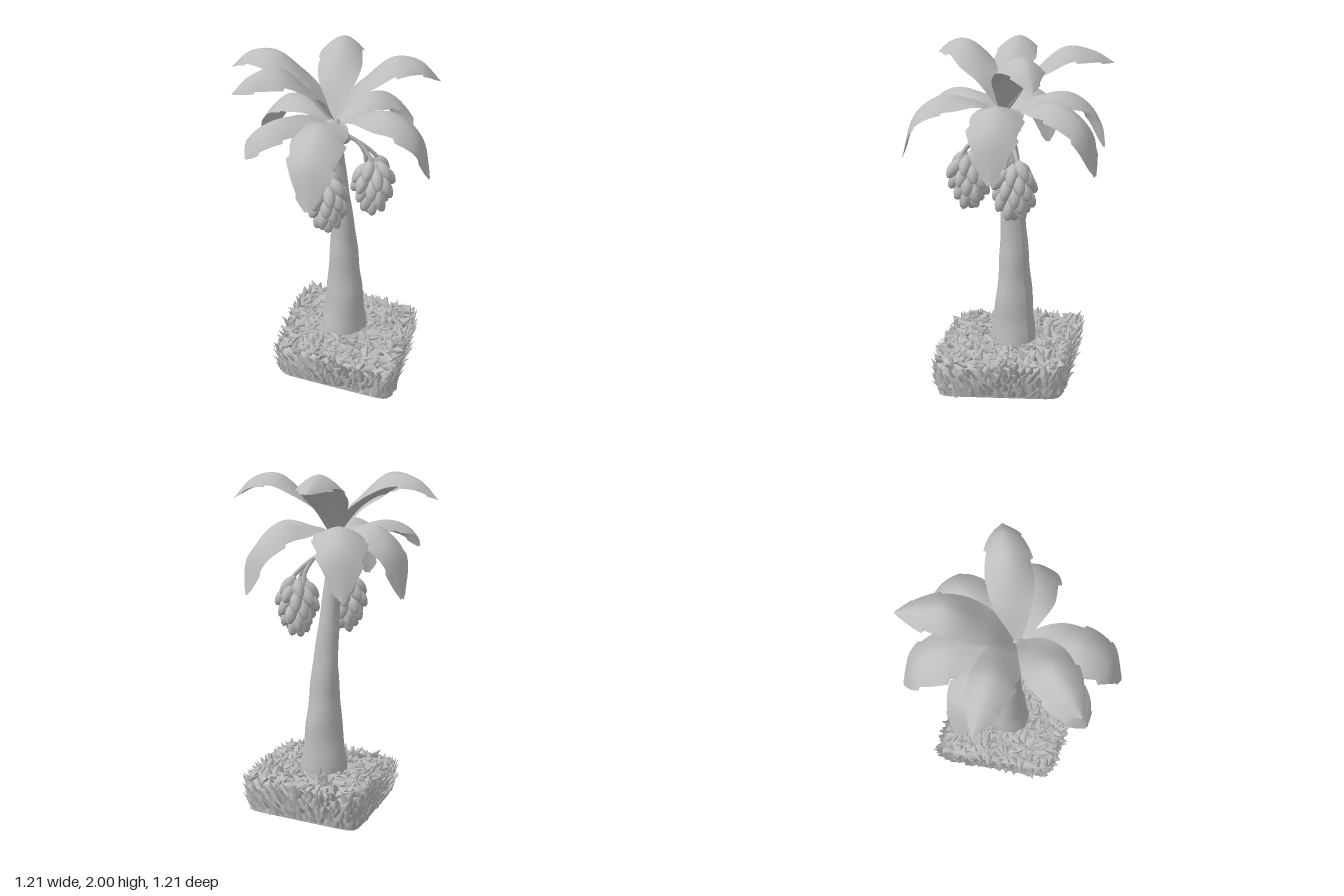
import * as THREE from 'three';
import { mergeGeometries } from 'three/addons/utils/BufferGeometryUtils.js';
import { ParametricGeometry } from 'three/addons/geometries/ParametricGeometry.js';

const V = (x, y, z) => new THREE.Vector3(x, y, z);
const grey = new THREE.MeshStandardMaterial({ color: 0xbdbdbd, side: THREE.DoubleSide });
grey.name = 'stone grey';

let seed = 7;
const rnd = () => ((seed = (seed * 16807) % 2147483647) / 2147483647);
const jitter = (a) => (rnd() - 0.5) * 2 * a;

function add(parent, name, geometry) {
  const mesh = new THREE.Mesh(geometry, grey);
  mesh.name = name;
  parent.add(mesh);
  return mesh;
}

function surface(rule, slices, stacks) {
  const geometry = new ParametricGeometry(rule, slices, stacks);
  geometry.computeVertexNormals();
  return geometry;
}

// Places a copy of a y-pointing geometry at a point, aimed along a direction
function aim(geo, pos, dir, scale, spin = 0) {
  const q = new THREE.Quaternion().setFromUnitVectors(V(0, 1, 0), dir.clone().normalize());
  q.multiply(new THREE.Quaternion().setFromAxisAngle(V(0, 1, 0), spin));
  return geo.clone().applyMatrix4(new THREE.Matrix4().compose(pos, q, scale));
}

// Linear lookup through rows of evenly spaced values
function sample(rows, t) {
  const f = t * (rows.length - 1), i = Math.min(Math.floor(f), rows.length - 2);
  return rows[i].map((a, k) => a + (rows[i + 1][k] - a) * (f - i));
}

// Slightly rounded square footprint of the ground block, turned 45 degrees
function footprint(angle, scale, y) {
  const a = angle - Math.PI / 4, n = 12;
  const r = 0.387 / Math.pow(Math.abs(Math.cos(a)) ** n + Math.abs(Math.sin(a)) ** n, 1 / n);
  return V(0.088 + Math.cos(angle) * r * scale * 0.92, y, 0.022 + Math.sin(angle) * r * scale * 1.06);
}

function ground(parent) {
  const group = new THREE.Group();
  group.name = 'grassyGround';
  parent.add(group);

  // Soil body and flat underside
  const wall = [[0.96, 0], [0.98, 0.05], [1, 0.1], [1, 0.15], [0.96, 0.19], [0.7, 0.2], [0.35, 0.2], [0, 0.2]];
  add(group, 'soil', surface((u, v, p) => {
    const [s, y] = sample(wall, v), a = -u * Math.PI * 2;
    const bump = v > 0.05 ? 0.012 * Math.sin(a * 17 + v * 31) * Math.sin(v * 47 + a * 9) : 0;
    p.copy(footprint(a, s * (1 + bump), y + (v > 0.6 ? bump : 0)));
  }, 96, 28));
  add(group, 'underside', surface((u, v, p) => {
    p.copy(footprint(-u * Math.PI * 2, 0.96 * v, 0));
  }, 96, 1));

  // Broad pointed blades around the sides and over the top
  const blade = new THREE.ConeGeometry(0.028, 0.09, 5, 2);
  blade.translate(0, 0.03, 0).scale(1, 1, 0.35);
  const sides = [], tops = [];
  const rows = 6, perRow = 68;
  for (let r = 0; r < rows; r++) {
    for (let i = 0; i < perRow; i++) {
      const a = ((i + (r % 2) / 2 + jitter(0.4)) / perRow) * Math.PI * 2;
      const y = 0.03 + r * 0.029 + jitter(0.01);
      const pos = footprint(a, 0.96 + 0.04 * Math.sin((y / 0.2) * Math.PI * 0.6), y);
      const dir = V(Math.cos(a), 0, Math.sin(a)).multiplyScalar(0.4 + jitter(0.25))
        .add(V(jitter(0.3), 0.8, jitter(0.3)));
      const k = 0.75 + rnd() * 0.4;
      sides.push(aim(blade, pos, dir, V(k, r === rows - 1 ? k * 0.7 : k, k), Math.PI / 2 - a));
    }
  }
  const count = 330;
  for (let i = 0; i < count; i++) {
    const pos = footprint(i * 2.39996, Math.sqrt((i + 0.5) / count) * 0.97, 0.2);
    const dir = V(jitter(1), 0.2 + rnd() * 0.35, jitter(1));
    const k = 0.7 + rnd() * 0.3;
    tops.push(aim(blade, pos, dir, V(1.2, k, 1.9), rnd() * 6));
  }
  add(group, 'sideGrass', mergeGeometries(sides));
  add(group, 'topGrass', mergeGeometries(tops));
}

function trunk(parent) {
  // Rows of centre x, centre z, radius x, radius z
  const rows = [
    [0.08, -0.01, 0.148, 0.138], [0.083, -0.01, 0.128, 0.125], [0.086, -0.01, 0.109, 0.11],
    [0.08, -0.012, 0.093, 0.094], [0.076, -0.014, 0.077, 0.086], [0.064, -0.016, 0.065, 0.077],
    [0.048, -0.02, 0.058, 0.063], [0.03, -0.022, 0.051, 0.05], [0.01, -0.01, 0.048, 0.045],
  ];
  add(parent, 'trunk', surface((u, v, p) => {
    const [x, z, rx, rz] = sample(rows, v), a = -u * Math.PI * 2;
    // Soft uneven bark
    const k = 1 + 0.02 * Math.sin(v * 32 + Math.sin(a)) + 0.02 * Math.sin(a * 3 + v * 14);
    p.set(x + Math.cos(a) * rx * k, 0.17 + v * 1.35, z + Math.sin(a) * rz * k);
  }, 18, 40));

  // Knobbly crown where the leaves meet
  const knobs = [];
  for (let i = 0; i < 6; i++) {
    const a = (i / 6) * Math.PI * 2;
    knobs.push(new THREE.SphereGeometry(0.04, 10, 8).scale(1, 0.95, 1)
      .translate(0.025 + Math.cos(a) * 0.042, 1.505 + 0.02 * (i % 2), Math.sin(a) * 0.042));
  }
  knobs.push(new THREE.SphereGeometry(0.055, 12, 10).scale(1, 1.5, 1).translate(0, 1.56, 0));
  add(parent, 'crownKnob', mergeGeometries(knobs));
}

// Broad arched leaf along a spine, with a few torn notches at the edges
function leaf(parent, name, spine, halfWidth, sag, shift, blunt) {
  const curve = new THREE.CatmullRomCurve3(spine);
  const end = spine[spine.length - 1];
  const side = V(-end.z, 0, end.x).normalize();
  const [lean, power] = blunt ? [1.1, 0.7] : [0.98, 0.8];
  add(parent, name, surface((u, v, p) => {
    const s = (u - 0.5) * 2, edge = Math.abs(s);
    const body = Math.max(0.03, Math.sin(Math.PI * Math.pow(0.03 + 0.97 * v, lean))) ** power;
    const tear = 0.15 * ((v * 4 + shift + (s > 0 ? 0.4 : 0)) % 1) * THREE.MathUtils.smoothstep(v, 0.3, 0.5);
    const w = halfWidth * body * (1 - tear * edge ** 4);
    const bend = THREE.MathUtils.lerp(0.05, -sag, THREE.MathUtils.smoothstep(v, 0.1, 0.5));
    curve.getPoint(v, p).addScaledVector(side, s * w);
    p.y += bend * w * Math.pow(edge, 1.6);
  }, 10, 44));
}

function leaves(parent) {
  const group = new THREE.Group();
  group.name = 'leaves';
  parent.add(group);
  // Tip x, tip z, tip height, half width
  const upper = [[-0.41, -0.49, 1.86, 0.13], [0.36, -0.51, 1.9, 0.135], [0.55, 0.24, 1.85, 0.135], [-0.61, 0.02, 1.89, 0.145]];
  upper.forEach(([x, z, y, w], i) => leaf(group, 'upperLeaf' + (i + 1), [
    V(0, 1.62, 0), V(x * 0.25, 1.83, z * 0.25), V(x * 0.55, 1.99, z * 0.55),
    V(x * 0.8, 1.97, z * 0.8), V(x, y, z),
  ], w, 0.65, i * 0.27, false));
  const lower = [[-0.39, 0.46, 1.34, 0.16], [0.4, 0.41, 1.35, 0.16], [0.6, -0.17, 1.34, 0.15],
    [0.2, -0.61, 1.35, 0.16], [-0.2, -0.5, 1.32, 0.15], [-0.58, 0.09, 1.54, 0.13]];
  lower.forEach(([x, z, y, w], i) => leaf(group, 'lowerLeaf' + (i + 1), [
    V(0, 1.59, 0), V(x * 0.3, 1.68, z * 0.3), V(x * 0.6, 1.71, z * 0.6),
    V(x * 0.86, 1.6 + (y - 1.34) * 0.3, z * 0.86), V(x, y, z),
  ], w, 0.55, i * 0.31, true));
}

function fruitBunch(parent, name, x, z) {
  const group = new THREE.Group();
  group.name = name;
  parent.add(group);
  // Plump pointed fruits splaying out of a tapering spiral
  const outline = [[0, -0.07], [0.016, -0.06], [0.032, -0.03], [0.037, 0], [0.031, 0.03], [0.018, 0.058], [0, 0.068]]
    .map(([r, y]) => new THREE.Vector2(r, y));
  const fruit = new THREE.LatheGeometry(outline, 9);
  const parts = [];
  const count = 29;
  for (let i = 0; i < count; i++) {
    const t = i / (count - 1), a = i * 2.39996;
    const r = 0.088 * Math.pow(Math.sin(Math.PI * (0.2 + 0.78 * t)), 0.7);
    const out = 0.9 * (1 - t * 0.7);
    const dir = V(Math.cos(a) * out, -1, Math.sin(a) * out);
    const pos = V(x + Math.cos(a) * r + jitter(0.01), 1.34 - 0.255 * t, z + Math.sin(a) * r + jitter(0.01));
    parts.push(aim(fruit, pos, dir, V(1, 0.9 + rnd() * 0.15, 1)));
  }
  add(group, 'fruits', mergeGeometries(parts));
  const core = add(group, 'bunchCore', new THREE.SphereGeometry(0.075, 14, 10));
  core.scale.y = 1.7;
  core.position.set(x, 1.24, z);

  // Stalks hanging from the crown
  for (let i = 0; i < 3; i++) {
    const a = i * 2.1;
    const path = new THREE.CatmullRomCurve3([
      V(x * 0.1, 1.55, z * 0.1), V(x * 0.55, 1.5, z * 0.55),
      V(x * 0.9 + Math.cos(a) * 0.03, 1.41, z * 0.9 + Math.sin(a) * 0.03),
      V(x + Math.cos(a) * 0.05, 1.35, z + Math.sin(a) * 0.05),
    ]);
    add(group, 'stalk' + (i + 1), new THREE.TubeGeometry(path, 10, 0.013, 6));
  }
}

export function createModel() {
  seed = 7;
  const model = new THREE.Group();
  model.name = 'palmTree';
  ground(model);
  trunk(model);
  leaves(model);
  fruitBunch(model, 'rightFruitBunch', -0.125, 0.165);
  fruitBunch(model, 'leftFruitBunch', 0.212, 0.095);
  return model;
}
